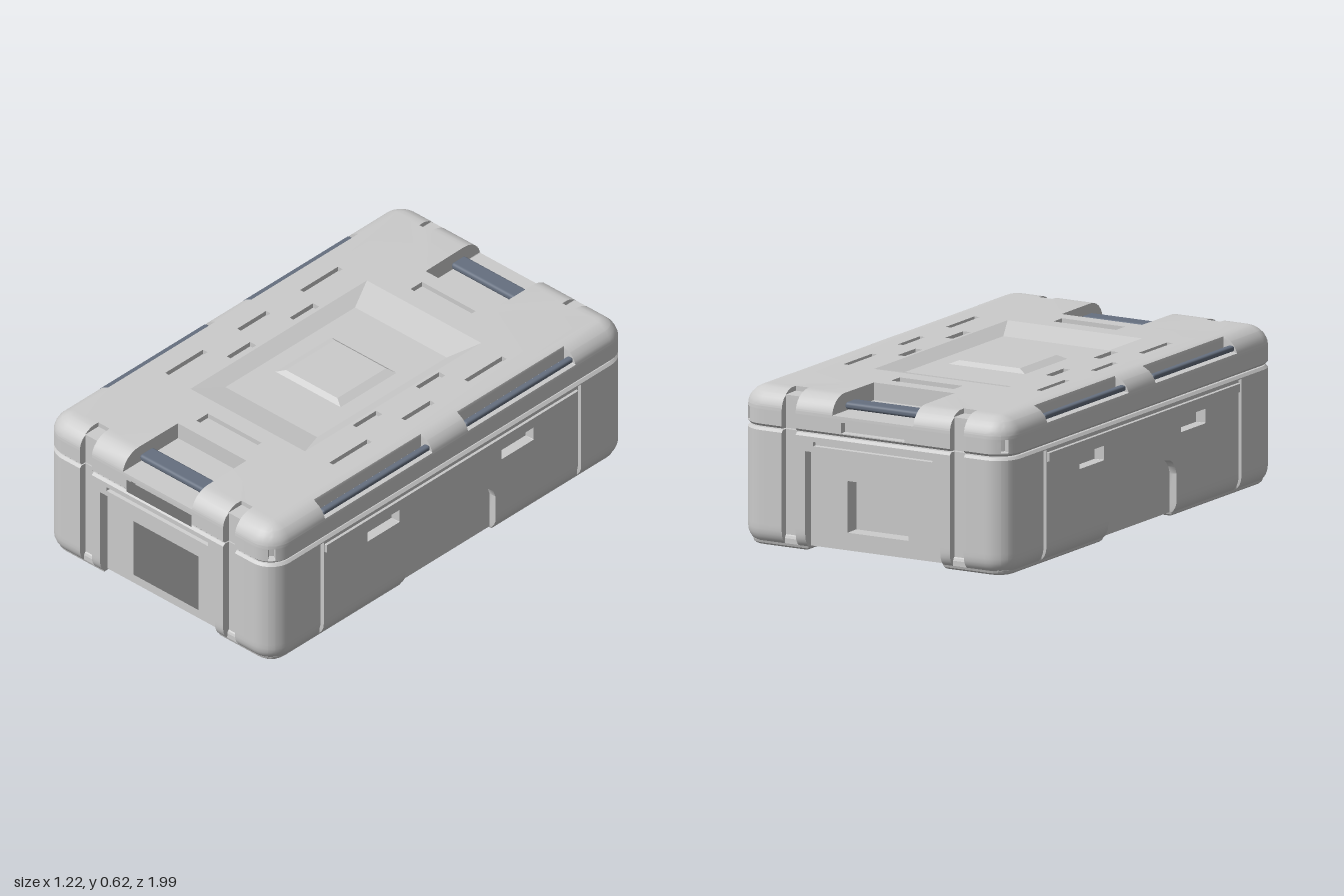
import * as THREE from 'three';
import { mergeGeometries, toCreasedNormals } from 'three/addons/utils/BufferGeometryUtils.js';
import { RoundedBoxGeometry } from 'three/addons/geometries/RoundedBoxGeometry.js';

const HX = 0.6, HZ = 0.992, R = 0.1, EPS = 0.001;
const TOP = 0.62;
const grey = new THREE.MeshStandardMaterial({ color: 0xcccccc, side: THREE.DoubleSide });
const steel = new THREE.MeshStandardMaterial({ color: 0x667080 });
const dark = new THREE.MeshStandardMaterial({ color: 0x777777, side: THREE.DoubleSide });

// Doubles every value so that a step can be sharp there
const pairs = list => list.flatMap(v => [v - EPS, v + EPS]);
const within = (v, a, b) => v > a && v < b;

// Columns round the case: a point on the inner rectangle, an outward normal and the place on the side
function perimeter(endEdges, sideEdges) {
  const cols = [];
  for (let k = 0; k < 4; k++) {
    const th = k * Math.PI / 2, kind = k % 2 ? 'side' : 'end';
    const ln = (k % 2 ? HX : HZ) - R, lt = (k % 2 ? HZ : HX) - R;
    const base = t => [Math.sin(th) * ln + Math.cos(th) * t, Math.cos(th) * ln - Math.sin(th) * t];
    const half = pairs(k % 2 ? sideEdges : endEdges).sort((a, b) => a - b);
    for (const t of [...half.map(v => -v).reverse(), ...half])
      cols.push({ kind, a: Math.abs(t), p: base(t), n: [Math.sin(th), Math.cos(th)] });
    for (const deg of [0, 12, 24, 36.5, 37.5, 45, 52.5, 53.5, 66, 78, 90]) {
      const f = th + deg * Math.PI / 180;
      cols.push({ kind: 'corner', a: Math.abs(deg - 45), p: base(lt), n: [Math.sin(f), Math.cos(f)] });
    }
  }
  return cols;
}

// Flat cap over an outline of [x, y, z] points
function cap(outline, holes = []) {
  const shape = new THREE.Shape(outline.map(p => new THREE.Vector2(p[0], -p[2])));
  for (const [x0, x1, z0, z1] of holes)
    shape.holes.push(new THREE.Path([[x0, z0], [x1, z0], [x1, z1], [x0, z1]].map(p => new THREE.Vector2(p[0], -p[1]))));
  const g = new THREE.ShapeGeometry(shape).rotateX(-Math.PI / 2).translate(0, outline[0][1], 0).toNonIndexed();
  g.deleteAttribute('uv');
  g.deleteAttribute('normal');
  return g;
}

// Rounded shell lofted from rows; place(column, y) gives the [offset, height] of a vertex
function shell(cols, ys, place, holes) {
  const rows = ys.map(y => cols.map(c => {
    const [w, h] = place(c, y);
    return [c.p[0] + c.n[0] * w, h, c.p[1] + c.n[1] * w];
  }));
  const pos = [];
  for (let r = 0; r < rows.length - 1; r++)
    for (let i = 0; i < cols.length; i++) {
      const j = (i + 1) % cols.length;
      const [a, b, c, d] = [rows[r][i], rows[r][j], rows[r + 1][j], rows[r + 1][i]];
      pos.push(...a, ...b, ...c, ...a, ...c, ...d);
    }
  const wall = new THREE.BufferGeometry();
  wall.setAttribute('position', new THREE.Float32BufferAttribute(pos, 3));
  return toCreasedNormals(mergeGeometries([wall, cap(rows[0]), cap(rows[rows.length - 1], holes)]), 0.6);
}

// Lower shell: grooves, end panels with pockets, side ledges, slots and arches
function bodyPlace({ kind, a }, y) {
  let w = R, h = y;
  if (y < 0.07) w -= 0.07 * (1 - Math.sqrt(1 - ((0.07 - y) / 0.07) ** 2));
  if (y > 0.455) w -= y - 0.455;
  if (kind === 'end') {
    if (within(a, 0.345, 0.405)) w = Math.min(w, 0.07);
    if (a < 0.3 && y < 0.395) w = Math.min(w, 0.06);
    if (a < 0.135 && within(y, 0.09, 0.29)) w = 0;
    if (a < 0.265 && within(y, 0.42, 0.435)) w -= 0.015;
  } else if (kind === 'side') {
    if (within(a, 0.705, 0.725) && y < 0.45) w -= 0.015;
    if (a < 0.7 && within(y, 0.405, 0.44)) w += 0.01;
    if (within(a, 0.285, 0.46) && within(y, 0.33, 0.385)) w -= 0.04;
    if (a < 0.25) {
      if (y < 0.24) w = Math.min(w, 0.07);
      if (within(y, 0.23, 0.25) && a > 0.17) h -= 0.08 - Math.sqrt(0.0064 - (a - 0.17) ** 2);
    }
  }
  return [w, h];
}

// Lid: rounded top edge, strap slots, handle openings and corner slots
function lidPlace({ kind, a }, y) {
  let w = R;
  if (y < 0.48) w -= 0.48 - y;
  if (y > 0.54) w = 0.01 + 0.09 * Math.sqrt(Math.max(0, 1 - ((y - 0.54) / 0.08) ** 2));
  if (kind === 'end') {
    if (within(a, 0.345, 0.405)) w = Math.min(w, y > 0.6 ? 0 : 0.07);
    if (a < 0.14 && within(y, 0.485, 0.525)) w -= 0.025;
    if (a < 0.18 && y > 0.55) w = -0.204;
  } else if (kind === 'side') {
    if (within(a, 0.1, 0.695) && y > 0.557) w = Math.min(w, y > 0.619 ? 0.01 : 0.04);
  } else if (a < 8 && within(y, 0.485, 0.535)) w -= 0.03;
  return [w, y];
}

// Sloped or straight walls from an outer to an inner rectangle, with a flat middle
function dish(outer, inner, y0, y1, holed) {
  const ring = ([x0, x1, z0, z1], y) => [[x0, y, z1], [x1, y, z1], [x1, y, z0], [x0, y, z0]];
  const o = ring(outer, y0), n = ring(inner, y1), pos = [];
  for (let i = 0; i < 4; i++) {
    const j = (i + 1) % 4;
    pos.push(...o[i], ...o[j], ...n[j], ...o[i], ...n[j], ...n[i]);
  }
  const wall = new THREE.BufferGeometry();
  wall.setAttribute('position', new THREE.Float32BufferAttribute(pos, 3));
  return toCreasedNormals(mergeGeometries([wall, cap(n, holed ? [holed] : [])]), 0.1);
}

export function createModel() {
  const model = new THREE.Group();
  const add = (name, geo, mat = grey, x = 0, y = 0, z = 0) => {
    const m = new THREE.Mesh(geo, mat);
    m.name = name;
    m.position.set(x, y, z - 0.008);
    model.add(m);
    return m;
  };

  // Lower shell
  const bodyCols = perimeter([0.135, 0.265, 0.3, 0.345, 0.405], [0.17, 0.2, 0.22, 0.238, 0.25, 0.285, 0.46, 0.7, 0.705, 0.725].map((v, i) => i === 7 ? 0.699 : v));
  const bodyYs = [0.02, 0.028, 0.038, 0.052, 0.07,
    ...pairs([0.09, 0.24, 0.29, 0.33, 0.385, 0.395, 0.405, 0.42, 0.435, 0.44, 0.45]), 0.455, 0.465];
  add('lowerShell', shell(bodyCols, bodyYs, bodyPlace));

  // Feet, leaving a cross-shaped channel under the case
  for (const sx of [-1, 1]) for (const sz of [-1, 1]) {
    const s = new THREE.Shape();
    s.moveTo(sx * 0.325, sz * 0.275);
    s.lineTo(sx * 0.553, sz * 0.275);
    s.lineTo(sx * 0.553, sz * 0.892);
    s.quadraticCurveTo(sx * 0.553, sz * 0.945, sx * 0.5, sz * 0.945);
    s.lineTo(sx * 0.325, sz * 0.945);
    s.closePath();
    const g = new THREE.ExtrudeGeometry(s, { depth: 0.02, bevelSize: 0.025, bevelThickness: 0.02, bevelSegments: 3, curveSegments: 6 });
    add('foot', g.rotateX(Math.PI / 2).translate(0, 0.04, 0));
  }

  // Pockets in the lid top
  const pockets = [];
  for (const s of [-1, 1]) {
    for (const z of [-0.375, 0, 0.375]) {
      const l = z ? 0.105 : 0.08;
      pockets.push([s * 0.43 - 0.012, s * 0.43 + 0.012, z - l, z + l]);
    }
    for (const z of [-0.175, 0.175]) pockets.push([s * 0.33 - 0.016, s * 0.33 + 0.016, z - 0.065, z + 0.065]);
    pockets.push([-0.14, 0.14, s * 0.595 - 0.032, s * 0.595 + 0.032]);
  }
  const tray = [-0.3, 0.3, -0.49, 0.49], trayFloor = [-0.24, 0.24, -0.36, 0.36];
  const pad = [-0.17, 0.17, -0.155, 0.155];

  // Lid
  const lidYs = [0.47, 0.48, ...pairs([0.485, 0.525, 0.535]), 0.54, ...pairs([0.55, 0.557]),
    0.57, 0.585, ...pairs([0.6]), 0.61, 0.616, 0.6185, TOP];
  const lidCols = perimeter([0.14, 0.18, 0.345, 0.405], [0.1, 0.695]);
  add('lid', shell(lidCols, lidYs, lidPlace, [...pockets, tray]));
  pockets.forEach(p => add('lidPocket', dish(p, p, TOP, TOP - 0.02)));
  add('lidTray', dish(tray, trayFloor, TOP, TOP - 0.03, pad));
  add('lidPad', dish(pad, [-0.135, 0.135, -0.135, 0.135], TOP - 0.03, TOP - 0.015));

  // Handle bars in the openings
  for (const s of [-1, 1]) {
    add('endHandle', new RoundedBoxGeometry(0.36, 0.028, 0.076, 3, 0.012), steel, 0, 0.571, s * 0.866);
    for (const z of [-0.3975, 0.3975])
      add('sideHandle', new RoundedBoxGeometry(0.028, 0.022, 0.594, 3, 0.009), steel, s * 0.576, 0.575, z);
  }

  // Front plates
  add('frontPlate', new THREE.PlaneGeometry(0.34, 0.25), dark, 0.01, 0.185, HZ - 0.037);
  add('lidPlate', new THREE.PlaneGeometry(0.34, 0.055), dark, 0.01, 0.497, HZ + 0.003);
  return model;
}
